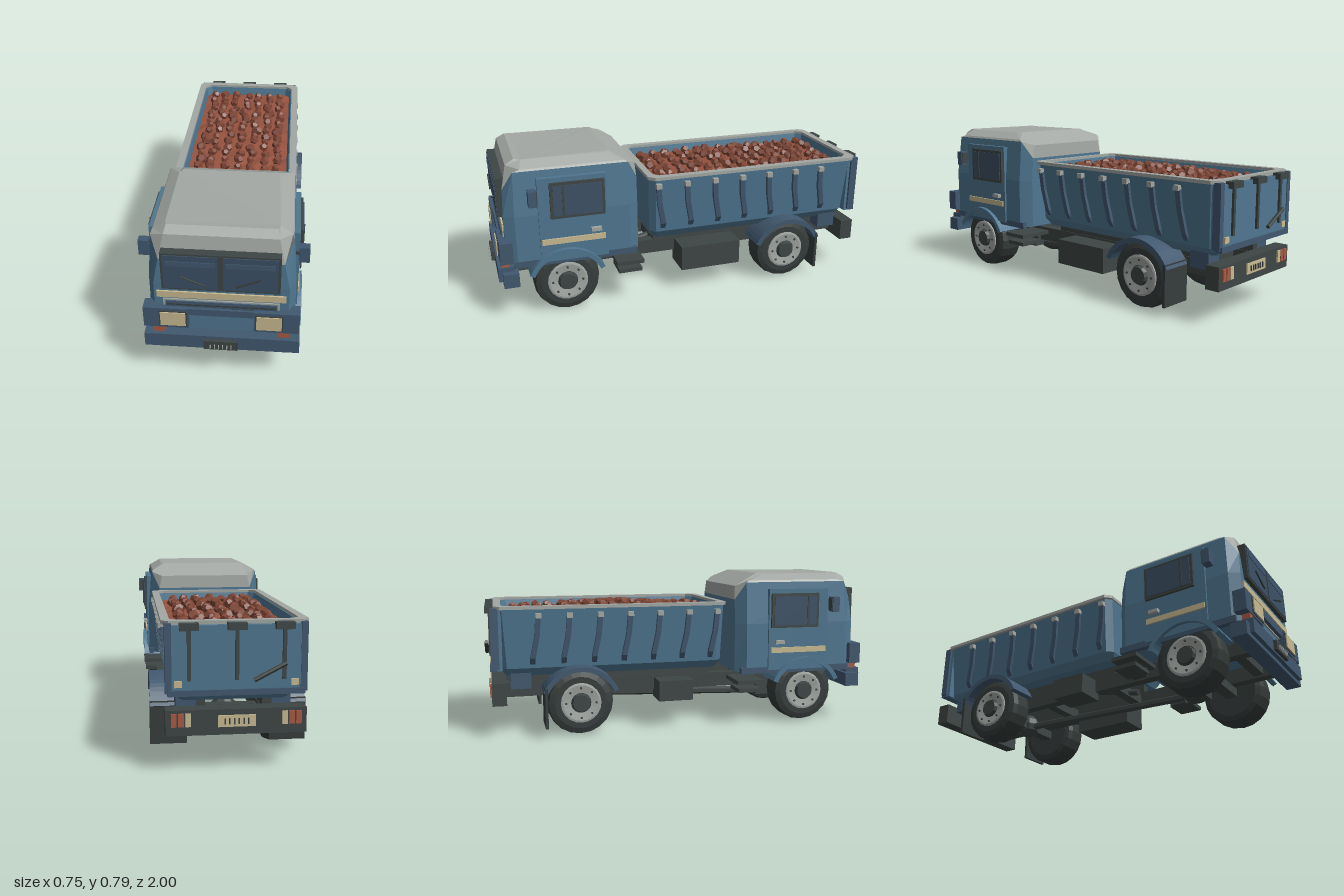
import * as THREE from 'three';

const mat = (name, color) => {
  const m = new THREE.MeshStandardMaterial({ color });
  m.name = name;
  return m;
};
const V = (x, y) => new THREE.Vector2(x, y);

export function createModel() {
  const root = new THREE.Group();
  root.name = 'dumpTruck';
  const blue = mat('blue paint', 0x4f7690), navy = mat('dark blue paint', 0x41586f);
  const glass = mat('glass', 0x3d5166), grey = mat('light grey', 0xa3a8a4);
  const dark = mat('dark grey', 0x3e4645), rubber = mat('rubber', 0x363d3c);
  const cream = mat('cream', 0xc8ba92), orange = mat('orange red', 0xa85a45);
  const rust = mat('rust load', 0x96523f), stone = mat('rust stones', 0x7d4535);

  // Helpers
  const flat = (g) => {
    const f = g.index ? g.toNonIndexed() : g;
    f.computeVertexNormals();
    return f;
  };
  const add = (name, g, m, x = 0, y = 0, z = 0, parent = root) => {
    const mesh = new THREE.Mesh(g, m);
    mesh.name = name;
    mesh.position.set(x, y, z);
    parent.add(mesh);
    return mesh;
  };
  // Box given by its limits on each axis
  const box = (name, m, [x0, x1], [y0, y1], [z0, z1], parent = root) =>
    add(name, new THREE.BoxGeometry(x1 - x0, y1 - y0, z1 - z0), m,
      (x0 + x1) / 2, (y0 + y1) / 2, (z0 + z1) / 2, parent);
  const pair = (name, m, [x0, x1], y, z) => {
    box(name + 'Left', m, [x0, x1], y, z);
    box(name + 'Right', m, [-x1, -x0], y, z);
  };
  const bar = (name, m, a, b, r, sides = 8) => {
    const p = new THREE.Vector3(...a), q = new THREE.Vector3(...b);
    const mesh = add(name, flat(new THREE.CylinderGeometry(r, r, p.distanceTo(q), sides)), m);
    mesh.position.copy(p).lerp(q, 0.5);
    mesh.quaternion.setFromUnitVectors(new THREE.Vector3(0, 1, 0), q.sub(p).normalize());
    return mesh;
  };
  // Eight-sided plan: side points (hw, ys), front and back points (xe at zf/zb, yf/yb)
  const ring = (hw, xf, xb, zf, zb, ys, yf = ys, yb = ys, c = 0.05) => [
    [hw, ys, zf - c], [hw, ys, zb + c], [xb, yb, zb], [-xb, yb, zb],
    [-hw, ys, zb + c], [-hw, ys, zf - c], [-xf, yf, zf], [xf, yf, zf]];
  const loft = (rings, capBottom, capTop) => {
    const p = [], n = rings[0].length, tri = (a, b, c) => p.push(...a, ...b, ...c);
    for (let k = 0; k + 1 < rings.length; k++) for (let i = 0; i < n; i++) {
      const j = (i + 1) % n, [a, b] = [rings[k], rings[k + 1]];
      tri(a[i], a[j], b[j]);
      tri(a[i], b[j], b[i]);
    }
    const last = rings[rings.length - 1];
    for (let i = 1; i + 1 < n; i++) {
      if (capBottom) tri(rings[0][0], rings[0][i + 1], rings[0][i]);
      if (capTop) tri(last[0], last[i], last[i + 1]);
    }
    const g = new THREE.BufferGeometry();
    g.setAttribute('position', new THREE.Float32BufferAttribute(p, 3));
    g.computeVertexNormals();
    return g;
  };

  // Cab shell and roof
  const waist = ring(0.323, 0.295, 0.275, 0.93, 0.27, 0.53);
  const eaves = ring(0.305, 0.27, 0.265, 0.922, 0.27, 0.745, 0.655, 0.655);
  add('cab', loft([ring(0.325, 0.297, 0.275, 0.93, 0.27, 0.275), waist, eaves], true, false), blue);
  add('roof', loft([eaves, ring(0.3, 0.245, 0.25, 0.897, 0.275, 0.755, 0.767, 0.725, 0.06),
    ring(0.245, 0.238, 0.23, 0.855, 0.4, 0.787, 0.79, 0.79, 0.03)], false, true), grey);
  pair('cabSill', navy, [0.3, 0.328], [0.268, 0.3], [0.29, 0.9]);

  // Windscreen, visors and wipers
  box('windscreenFrame', dark, [-0.256, 0.256], [0.516, 0.706], [0.9, 0.95]);
  for (const s of [-1, 1]) {
    const part = (name, m, x0, x1, y, z) =>
      box(name, m, s > 0 ? [x0, x1] : [-x1, -x0], y, z);
    part('windscreenPane', glass, 0.012, 0.245, [0.526, 0.698], [0.948, 0.954]);
    part('sunVisor', navy, 0.022, 0.232, [0.646, 0.67], [0.952, 0.957]);
    bar('wiper', rubber, [s * 0.17, 0.595, 0.96], [s * 0.065, 0.549, 0.96], 0.004, 6);
  }

  // Front face
  box('frontStripe', cream, [-0.283, 0.283], [0.457, 0.49], [0.925, 0.938]);
  box('grilleTrim', grey, [-0.256, 0.256], [0.4, 0.447], [0.92, 0.936]);
  box('grillePanel', navy, [-0.245, 0.245], [0.385, 0.44], [0.92, 0.942]);
  for (const y of [0.405, 0.422]) box('grilleSlat', rubber, [-0.238, 0.238], [y, y + 0.005], [0.93, 0.945]);
  box('headlightBridge', navy, [-0.16, 0.16], [0.375, 0.41], [0.92, 0.955]);
  box('bridgeTrim', grey, [-0.14, 0.14], [0.367, 0.374], [0.92, 0.938]);
  pair('headlightHousing', navy, [0.145, 0.345], [0.304, 0.412], [0.9, 0.962]);
  pair('headlightRim', dark, [0.15, 0.274], [0.316, 0.4], [0.95, 0.966]);
  pair('headlight', cream, [0.156, 0.268], [0.322, 0.395], [0.96, 0.971]);
  pair('indicator', orange, [0.252, 0.304], [0.272, 0.305], [0.92, 0.958]);

  // Front bumper and plate
  box('bumper', navy, [-0.35, 0.35], [0.18, 0.25], [0.88, 0.955]);
  box('bumperFace', navy, [-0.312, 0.312], [0.2, 0.272], [0.9, 0.975]);
  box('frontPlate', dark, [-0.076, 0.076], [0.21, 0.258], [0.97, 0.992]);
  for (let i = 0; i < 6; i++) {
    const x = -0.048 + i * 0.0185;
    box('plateBar', grey, [x, x + 0.004], [0.22, 0.24], [0.99, 1]);
  }

  // Doors, side windows and mirrors
  pair('door', blue, [0.295, 0.334], [0.285, 0.71], [0.437, 0.768]);
  pair('sideWindowFrame', dark, [0.32, 0.346], [0.508, 0.687], [0.448, 0.712]);
  pair('sideWindow', glass, [0.34, 0.35], [0.522, 0.673], [0.462, 0.698]);
  pair('windowBar', dark, [0.345, 0.354], [0.522, 0.673], [0.645, 0.655]);
  pair('doorStripe', cream, [0.33, 0.342], [0.376, 0.404], [0.45, 0.76]);
  pair('doorHandle', grey, [0.33, 0.355], [0.424, 0.442], [0.47, 0.52]);
  pair('mirrorArm', dark, [0.3, 0.36], [0.62, 0.632], [0.79, 0.8]);
  pair('mirror', navy, [0.33, 0.377], [0.588, 0.665], [0.777, 0.815]);
  pair('mirrorGlass', dark, [0.335, 0.372], [0.595, 0.658], [0.772, 0.778]);

  // Wheels with fenders
  const tire = flat(new THREE.LatheGeometry([V(0, -0.07), V(0.13, -0.07), V(0.155, -0.062), V(0.165, -0.035),
    V(0.165, 0.035), V(0.157, 0.062), V(0.13, 0.07), V(0, 0.07)], 20));
  const rim = flat(new THREE.LatheGeometry([V(0.1, 0.068), V(0.1, 0.077), V(0.09, 0.079), V(0.05, 0.073)], 20));
  const hub = flat(new THREE.CylinderGeometry(0.042, 0.05, 0.025, 12));
  const bolt = new THREE.CylinderGeometry(0.006, 0.006, 0.008, 6);
  const arch = new THREE.Shape();
  arch.absarc(0, 0, 0.202, 0.42, Math.PI - 0.42, false);
  arch.absarc(0, 0, 0.178, Math.PI - 0.42, 0.42, true);
  const fender = new THREE.ExtrudeGeometry(arch, { depth: 0.155, bevelEnabled: false, curveSegments: 10 });
  fender.rotateY(Math.PI / 2);
  for (const z of [0.645, -0.545]) {
    for (const s of [-1, 1]) {
      const w = new THREE.Group();
      w.name = (z > 0 ? 'front' : 'rear') + (s > 0 ? 'LeftWheel' : 'RightWheel');
      w.position.set(s * 0.25, 0.165, z);
      w.rotation.z = -s * Math.PI / 2;
      add('tire', tire, rubber, 0, 0, 0, w);
      add('rim', rim, grey, 0, 0, 0, w);
      add('hub', hub, dark, 0, 0.077, 0, w);
      for (let i = 0; i < 8; i++) {
        const a = i * Math.PI / 4;
        add('wheelBolt', bolt, dark, 0.075 * Math.cos(a), 0.078, 0.075 * Math.sin(a), w);
      }
      root.add(w);
      add('fender', fender, z > 0 ? blue : navy, s > 0 ? 0.2 : -0.355, 0.147, z);
    }
    box('axle', dark, [-0.2, 0.2], [0.13, 0.175], [z - 0.03, z + 0.03]);
  }
  add('differential', flat(new THREE.SphereGeometry(0.065, 8, 6)), dark, 0, 0.16, -0.545);
  pair('mudflap', rubber, [0.19, 0.358], [0.05, 0.25], [-0.722, -0.708]);

  // Chassis
  pair('chassisRail', dark, [0.12, 0.17], [0.18, 0.255], [-0.93, 0.9]);
  for (const z of [0.82, 0.4, 0.12, -0.3, -0.75])
    box('crossMember', dark, [-0.14, 0.14], [0.19, 0.24], [z - 0.025, z + 0.025]);
  box('engineSump', dark, [-0.08, 0.08], [0.1, 0.24], [0.47, 0.58]);
  bar('driveShaft', dark, [0, 0.112, 0.47], [0, 0.15, -0.5], 0.02, 6);
  bar('liftRam', dark, [0, 0.2, 0.2], [0, 0.3, -0.22], 0.016);
  pair('bedSupport', dark, [0.125, 0.165], [0.25, 0.305], [-0.88, 0.16]);
  pair('rearBracket', navy, [0.15, 0.25], [0.235, 0.34], [-0.88, -0.78]);
  box('fuelTank', dark, [0.14, 0.3], [0.115, 0.245], [-0.285, 0.04]);
  box('batteryBox', dark, [-0.29, -0.14], [0.14, 0.245], [-0.14, 0.04]);
  pair('upperStep', dark, [0.17, 0.358], [0.22, 0.24], [0.26, 0.4]);
  pair('lowerStep', dark, [0.22, 0.35], [0.175, 0.195], [0.27, 0.39]);
  pair('stepBracket', dark, [0.2, 0.22], [0.175, 0.23], [0.29, 0.37]);

  // Tipping bed and rim
  const plan = (hw, zf, zb, y, c = 0.03) => ring(hw, hw - c, hw - c, zf, zb, y, y, y, c);
  add('bed', loft([plan(0.24, 0.18, -0.9, 0.3), plan(0.268, 0.2, -0.925, 0.34), plan(0.296, 0.208, -0.943, 0.635),
    plan(0.27, 0.182, -0.915, 0.635), plan(0.256, 0.168, -0.9, 0.56)], true, true), blue);
  const outline = (pts, S) => new S(pts.map(([x, , z]) => V(x, -z)));
  const rimShape = outline(plan(0.312, 0.215, -0.952, 0), THREE.Shape);
  rimShape.holes.push(outline(plan(0.275, 0.182, -0.915, 0), THREE.Path));
  add('bedRim', new THREE.ExtrudeGeometry(rimShape, { depth: 0.016, bevelEnabled: false })
    .rotateX(-Math.PI / 2), grey, 0, 0.632, 0);
  // Side ribs with light caps
  for (let i = 0; i < 7; i++) for (const s of [-1, 1]) {
    const z = 0.165 - i * 0.151;
    const rib = loft([[0.358, 0.27, -0.03], [0.39, 0.29, -0.03], [0.5, 0.3, -0.008], [0.605, 0.308, 0]].map(([y, x, d]) => {
      const a = s * (x - 0.03), b = s * x, [l, h] = s > 0 ? [a, b] : [b, a], q = z + d;
      return [[h, y, q + 0.013], [h, y, q - 0.013], [l, y, q - 0.013], [l, y, q + 0.013]];
    }), true, true);
    add('bedRib', rib, navy);
    box('ribCap', grey, s > 0 ? [0.28, 0.318] : [-0.318, -0.28], [0.588, 0.612], [z - 0.014, z + 0.014]);
  }

  // Tailgate
  box('tailgate', blue, [-0.288, 0.288], [0.335, 0.63], [-0.965, -0.915]);
  pair('tailgatePost', navy, [0.272, 0.3], [0.345, 0.64], [-0.968, -0.93]);
  box('tailgateSill', navy, [-0.29, 0.29], [0.335, 0.36], [-0.975, -0.94]);
  for (const x of [-0.2, 0, 0.2]) {
    box('tailgateHinge', dark, [x - 0.04, x + 0.04], [0.612, 0.642], [-0.992, -0.94]);
    box('tailgateStrut', dark, [x - 0.008, x + 0.008], [0.4, 0.62], [-0.976, -0.955]);
  }
  pair('tailgateMarker', cream, [0.23, 0.262], [0.372, 0.4], [-0.972, -0.96]);
  bar('tailgateLever', rubber, [-0.205, 0.47, -0.987], [-0.07, 0.4, -0.987], 0.01, 6);

  // Rear bumper, lamps and plate
  box('rearBumper', dark, [-0.3, 0.3], [0.165, 0.275], [-0.97, -0.9]);
  for (const s of [-1, 1]) [orange, orange, cream].forEach((m, i) => {
    const x = s * (0.265 - i * 0.03);
    box('rearLamp', m, [x - 0.012, x + 0.012], [0.205, 0.262], [-0.978, -0.968]);
  });
  box('rearPlate', cream, [-0.08, 0.08], [0.2, 0.25], [-0.977, -0.968]);
  for (let i = 0; i < 6; i++) {
    const x = -0.052 + i * 0.02;
    box('rearPlateBar', dark, [x, x + 0.005], [0.212, 0.238], [-0.982, -0.975]);
  }

  // Load: lumpy bed of gravel with loose stones on top
  let seed = 7;
  const rnd = () => (seed = (seed * 16807) % 2147483647) / 2147483647;
  const heap = (x, z) => 0.592 + 0.028 * Math.exp(-((z + 0.33) ** 2) * 12) * (1 - Math.abs(x) / 0.3);
  const ground = new THREE.PlaneGeometry(0.52, 1.07, 8, 16).rotateX(-Math.PI / 2).translate(0, 0, -0.366);
  const gp = ground.attributes.position;
  for (let i = 0; i < gp.count; i++) gp.setY(i, heap(gp.getX(i), gp.getZ(i)) + (rnd() - 0.5) * 0.014);
  add('loadSurface', flat(ground), rust);
  const rock = new THREE.DodecahedronGeometry(1);
  for (let i = 0; i < 7; i++) for (let j = 0; j < 16; j++) {
    const x = -0.207 + i * 0.069 + (rnd() - 0.5) * 0.025, z = -0.85 + j * 0.064 + (rnd() - 0.5) * 0.025;
    const r = 0.021 + rnd() * 0.008;
    const m = add('stone', rock, stone, x, heap(x, z) + 0.014, z);
    m.scale.set(r, r * (0.85 + rnd() * 0.4), r * (0.8 + rnd() * 0.4));
    m.rotation.set(rnd() * 6, rnd() * 6, rnd() * 6);
  }
  return root;
}
